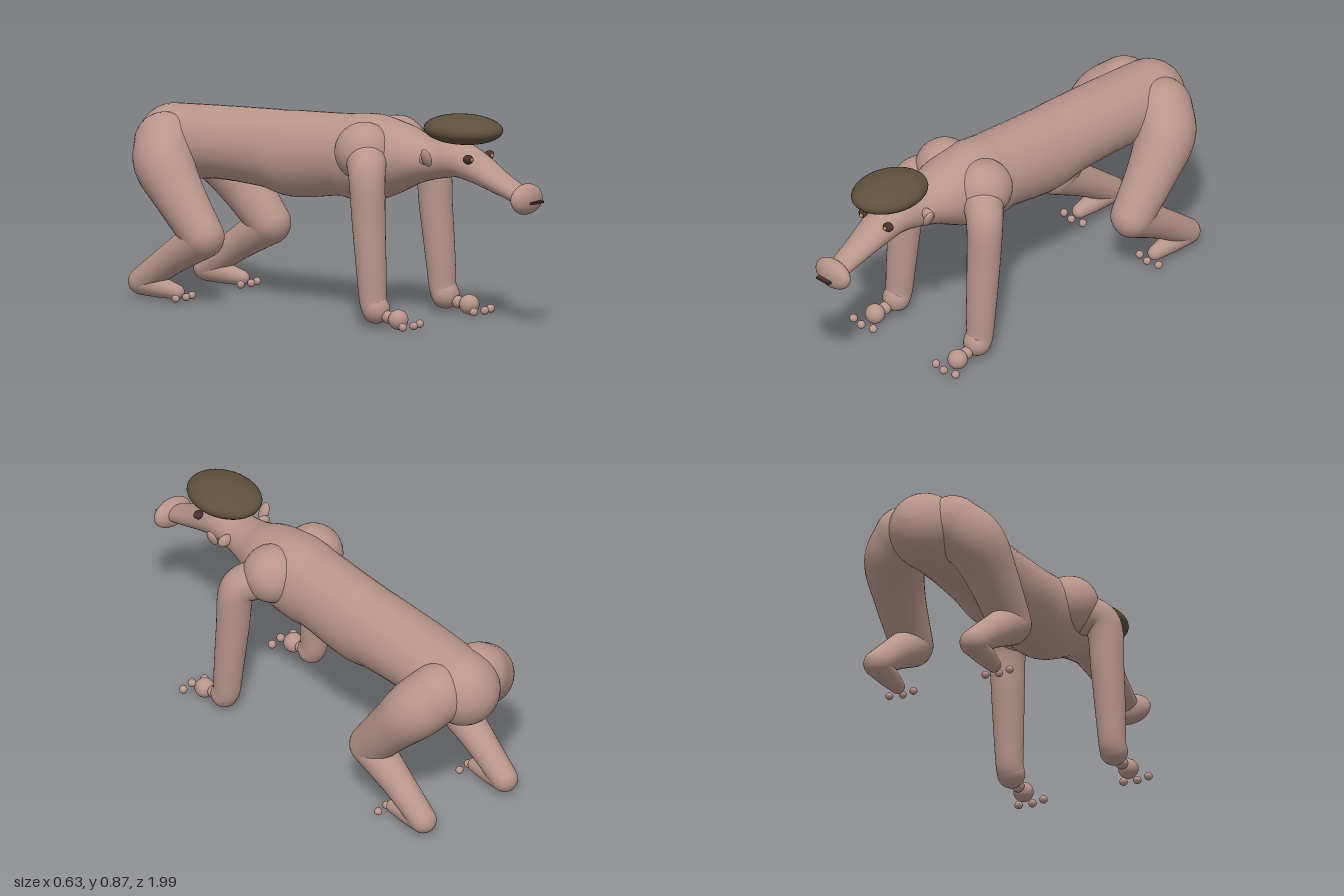
import * as THREE from 'three';

const mat = (color) => new THREE.MeshStandardMaterial({ color, roughness: 0.8 });
const X = new THREE.Vector3(1, 0, 0), Z = new THREE.Vector3(0, 0, 1);

// Smooth round-ended sweep; stations are [x, y, z, width radius, depth radius]
function sweep(stations, ref = X, steps = 8, sides = 32) {
  const path = new THREE.CatmullRomCurve3(
    stations.map((s) => new THREE.Vector3(s[0], s[1], s[2])), false, 'catmullrom', 0.5);
  const radii = new THREE.CatmullRomCurve3(
    stations.map((s) => new THREE.Vector3(s[3], s[4] ?? s[3], 0)), false, 'catmullrom', 0.5);
  const rings = [], cap = 8, n = (stations.length - 1) * steps;
  for (let i = 0; i < cap; i++) rings.push([0, -Math.cos((i / cap) * Math.PI / 2), Math.sin((i / cap) * Math.PI / 2)]);
  for (let i = 0; i <= n; i++) rings.push([i / n, 0, 1]);
  for (let i = 1; i <= cap; i++) rings.push([1, Math.sin((i / cap) * Math.PI / 2), Math.cos((i / cap) * Math.PI / 2)]);

  const pos = [], index = [];
  rings.forEach(([t, push, scale], i) => {
    const tan = path.getTangent(t), r = radii.getPoint(t);
    const u = ref.clone().addScaledVector(tan, -ref.dot(tan)).normalize();
    const v = new THREE.Vector3().crossVectors(tan, u);
    const c = path.getPoint(t).addScaledVector(tan, push * r.y);
    for (let j = 0; j < sides; j++) {
      const a = (j / sides) * Math.PI * 2;
      const p = c.clone()
        .addScaledVector(u, Math.cos(a) * r.x * scale)
        .addScaledVector(v, Math.sin(a) * r.y * scale);
      pos.push(p.x, p.y, p.z);
      if (i < rings.length - 1) {
        const k = (j + 1) % sides, A = i * sides, B = A + sides;
        index.push(A + j, A + k, B + j, A + k, B + k, B + j);
      }
    }
  });
  const g = new THREE.BufferGeometry();
  g.setAttribute('position', new THREE.Float32BufferAttribute(pos, 3));
  g.setIndex(index);
  g.computeVertexNormals();
  return g;
}

export function createModel() {
  const root = new THREE.Group();
  root.name = 'creature';
  const skin = mat(0xb8958a), felt = mat(0x5e503c), dark = mat(0x4a302d), iris = mat(0xa8995c);

  const add = (name, geometry, material = skin) => {
    const m = new THREE.Mesh(geometry, material);
    m.name = name;
    root.add(m);
    return m;
  };
  const ball = (name, p, r, material = skin) => {
    const m = add(name, new THREE.SphereGeometry(1, 32, 20), material);
    m.position.set(...p);
    if (Array.isArray(r)) m.scale.set(...r);
    else m.scale.setScalar(r);
    return m;
  };

  // Rump, belly, chest, neck, head and long snout in one flowing form
  add('body', sweep([
    [0, 0.62, -0.84, 0.15, 0.155],
    [0, 0.637, -0.6, 0.155, 0.15],
    [0, 0.637, -0.36, 0.155, 0.161],
    [0, 0.628, -0.22, 0.155, 0.177],
    [0, 0.647, 0, 0.155, 0.168],
    [0, 0.647, 0.09, 0.158, 0.176],
    [0, 0.657, 0.2, 0.16, 0.172],
    [0, 0.668, 0.32, 0.142, 0.136],
    [0, 0.67, 0.42, 0.108, 0.095],
    [0, 0.675, 0.51, 0.09, 0.076],
    [0, 0.685, 0.6, 0.086, 0.074],
    [0, 0.655, 0.7, 0.076, 0.062],
    [0, 0.61, 0.8, 0.062, 0.047],
    [0, 0.56, 0.92, 0.048, 0.035],
  ]));

  // Muzzle, mouth and cap
  ball('muzzle', [0, 0.555, 0.937], [0.092, 0.063, 0.043]);
  add('mouth', new THREE.BoxGeometry(0.07, 0.009, 0.018), dark).position.set(0, 0.545, 0.99);
  ball('cap', [0, 0.81, 0.618], [0.135, 0.06, 0.175], felt);

  for (const s of [1, -1]) {
    const side = s > 0 ? 'left' : 'right';
    const part = (name) => side + name;
    const mirror = (list) => list.map(([x, ...rest]) => [s * x, ...rest]);

    // Face
    const socket = ball(part('EyeSocket'), [s * 0.071, 0.702, 0.695], [0.025, 0.019, 0.018], dark);
    socket.rotation.z = s * 0.25;
    ball(part('Eye'), [s * 0.069, 0.702, 0.71], 0.009, iris);
    const ear = ball(part('Ear'), [s * 0.14, 0.702, 0.535], [0.014, 0.04, 0.024]);
    ear.rotation.z = -s * 0.42;
    ball(part('EarRoot'), [s * 0.1, 0.69, 0.5], [0.035, 0.025, 0.02]);

    // Front leg
    ball(part('Shoulder'), [s * 0.112, 0.692, 0.2], [0.12, 0.12, 0.122]);
    add(part('FrontLeg'), sweep(mirror([
      [0.15, 0.665, 0.24, 0.085],
      [0.218, 0.613, 0.293, 0.075],
      [0.228, 0.42, 0.31, 0.068],
      [0.233, 0.22, 0.328, 0.061],
      [0.235, 0.11, 0.337, 0.056],
      [0.235, 0.075, 0.352, 0.057],
    ]), Z));
    ball(part('FrontFootJoint'), [s * 0.237, 0.05, 0.415], 0.026);
    ball(part('FrontFoot'), [s * 0.24, 0.045, 0.468], 0.041);

    // Hind leg folded at the knee
    add(part('Thigh'), sweep(mirror([
      [0.11, 0.63, -0.81, 0.125],
      [0.185, 0.555, -0.755, 0.125],
      [0.212, 0.44, -0.66, 0.105],
      [0.225, 0.285, -0.53, 0.087],
    ])));
    add(part('Shin'), sweep(mirror([
      [0.225, 0.28, -0.53, 0.085],
      [0.222, 0.18, -0.69, 0.066],
      [0.22, 0.072, -0.845, 0.055],
    ])));
    add(part('HindFoot'), sweep(mirror([
      [0.22, 0.068, -0.84, 0.052],
      [0.22, 0.055, -0.74, 0.042],
      [0.22, 0.045, -0.665, 0.03],
    ])));

    // Three beadlike toes on each foot
    for (const k of [-1, 0, 1]) {
      const lead = k === 0 ? 0.012 : 0;
      ball(part('FrontToe'), [s * (0.24 + k * 0.057), 0.027, 0.534 + lead], 0.017);
      ball(part('HindToe'), [s * (0.22 + k * 0.055), 0.027, -0.632 + lead], 0.016);
    }
  }
  return root;
}
